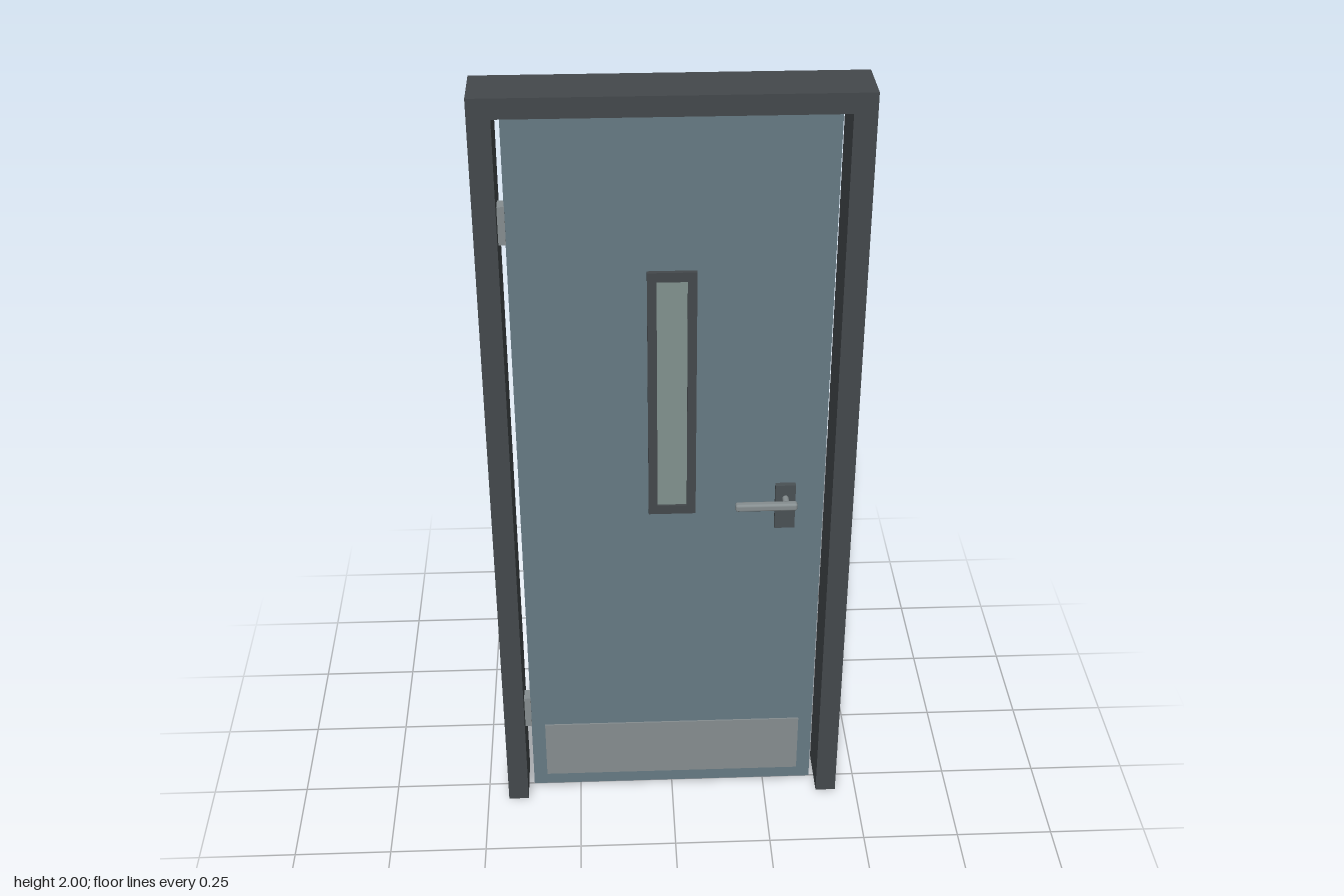
import * as THREE from 'three';
import { RoundedBoxGeometry } from 'three/addons/geometries/RoundedBoxGeometry.js';

const mat = (color) => new THREE.MeshStandardMaterial({ color });

export function createModel() {
  const group = new THREE.Group();
  const frameMat = mat(0x44494c);
  const leafMat = mat(0x667a84);
  const steelMat = mat(0x868e90);
  const glassMat = mat(0x81928f);
  const darkMat = mat(0x4a5154);

  const add = (name, geometry, material) => {
    const mesh = new THREE.Mesh(geometry, material);
    mesh.name = name;
    group.add(mesh);
    return mesh;
  };
  // box given by its limits on each axis
  const box = (name, [x0, x1], [y0, y1], [z0, z1], material) =>
    add(name, new THREE.BoxGeometry(x1 - x0, y1 - y0, z1 - z0), material)
      .position.set((x0 + x1) / 2, (y0 + y1) / 2, (z0 + z1) / 2);

  // door frame: two jambs and a lintel in one U-shaped profile
  const W = 0.445, I = 0.392;
  const outline = [[-W, 0], [-I, 0], [-I, 1.952], [I, 1.952], [I, 0], [W, 0], [W, 2], [-W, 2]];
  const profile = new THREE.Shape(outline.map(([x, y]) => new THREE.Vector2(x, y)));
  add('doorFrame', new THREE.ExtrudeGeometry(profile, { depth: 0.14, bevelEnabled: false }), frameMat)
    .position.z = -0.08;

  // door leaf and kick plate
  const front = 0.02;
  box('doorLeaf', [-0.376, 0.376], [0.017, 1.942], [-0.016, front], leafMat);
  box('kickPlate', [-0.34, 0.34], [0.053, 0.225], [front - 0.002, front + 0.004], steelMat);

  // narrow vision window: surround with an opening, glass set inside
  const surround = new THREE.Shape([[-0.058, 0.903], [0.058, 0.903], [0.058, 1.565], [-0.058, 1.565]]
    .map(([x, y]) => new THREE.Vector2(x, y)));
  surround.holes.push(new THREE.Path([[-0.036, 0.927], [-0.036, 1.541], [0.036, 1.541], [0.036, 0.927]]
    .map(([x, y]) => new THREE.Vector2(x, y))));
  add('windowSurround', new THREE.ExtrudeGeometry(surround, { depth: 0.012, bevelEnabled: false }), frameMat)
    .position.z = front - 0.001;
  box('windowGlass', [-0.037, 0.037], [0.926, 1.542], [front - 0.002, front + 0.005], glassMat);

  // handle: back plate, spindle and lever
  box('handlePlate', [0.255, 0.305], [0.855, 0.98], [front - 0.002, front + 0.014], darkMat);
  const spindle = add('handleSpindle', new THREE.CylinderGeometry(0.008, 0.008, 0.036, 16), steelMat);
  spindle.rotation.x = Math.PI / 2;
  spindle.position.set(0.28, 0.943, 0.05);
  add('handleLever', new RoundedBoxGeometry(0.152, 0.02, 0.02, 3, 0.006), steelMat)
    .position.set(0.23, 0.943, 0.068);

  // hinges in the gap on the side opposite the handle
  for (const y of [0.272, 1.685]) {
    box('hinge', [-0.393, -0.375], [y - 0.047, y + 0.047], [-0.012, front + 0.004], steelMat);
  }
  return group;
}
